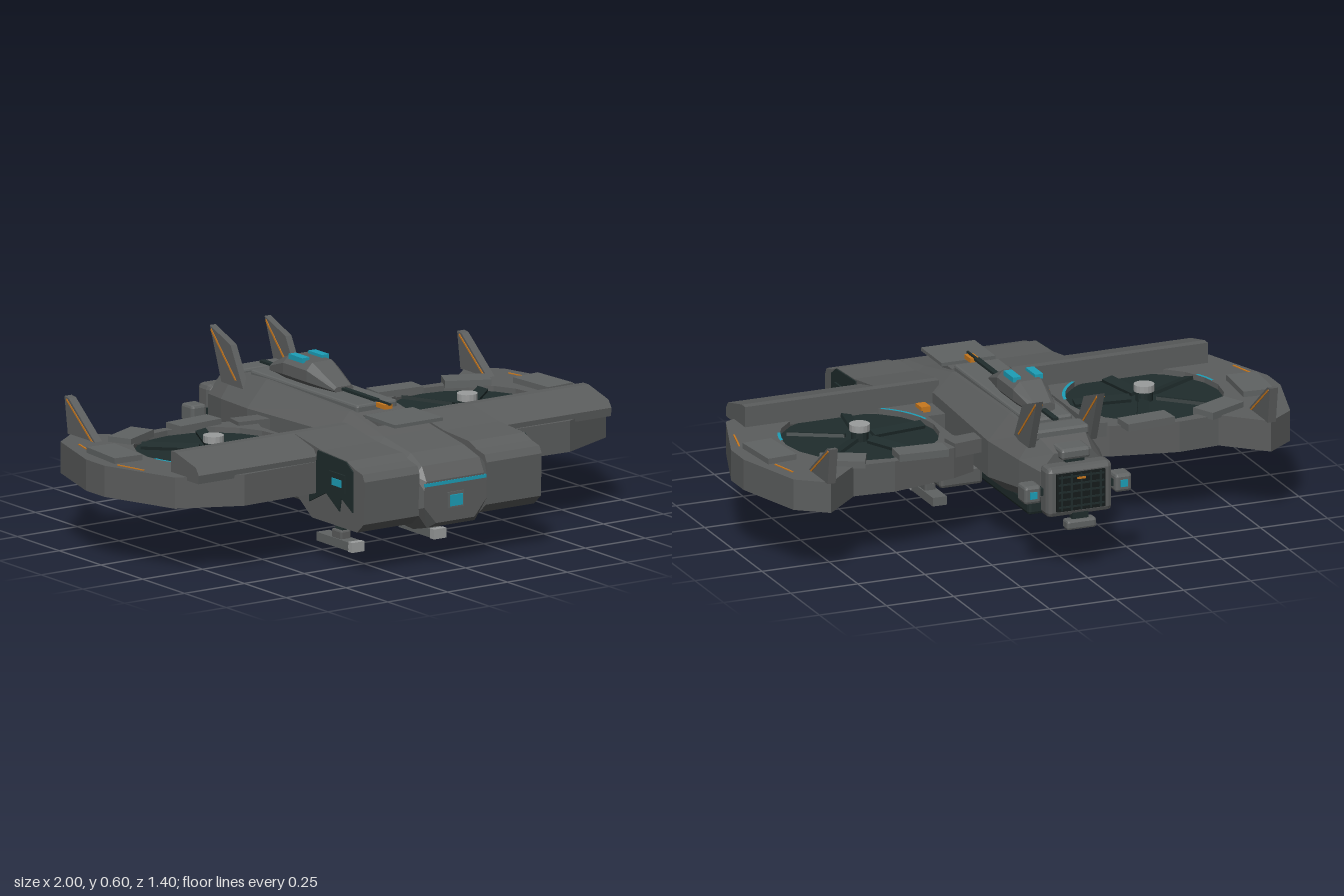
import * as THREE from 'three';
import { RoundedBoxGeometry } from 'three/addons/geometries/RoundedBoxGeometry.js';

const paint = (name, color) => {
  const m = new THREE.MeshStandardMaterial({ color });
  m.name = name;
  return m;
};

// faceted copy of any geometry
function facet(geo) {
  const g = geo.index ? geo.toNonIndexed() : geo;
  g.computeVertexNormals();
  return g;
}

// mirrored copy across x, with corner order restored
function mirrorX(geo) {
  const g = geo.clone(), p = g.attributes.position, a = new THREE.Vector3(), b = new THREE.Vector3();
  g.scale(-1, 1, 1);
  for (let i = 0; i < p.count; i += 3) {
    a.fromBufferAttribute(p, i + 1);
    b.fromBufferAttribute(p, i + 2);
    p.setXYZ(i + 1, b.x, b.y, b.z);
    p.setXYZ(i + 2, a.x, a.y, a.z);
  }
  g.computeVertexNormals();
  return g;
}

// box given by its limits, optionally with chamfered edges
function box(x0, x1, y0, y1, z0, z1, bevel = 0) {
  const s = [x1 - x0, y1 - y0, z1 - z0];
  const g = bevel ? new RoundedBoxGeometry(...s, 1, bevel) : new THREE.BoxGeometry(...s);
  return facet(g.translate((x0 + x1) / 2, (y0 + y1) / 2, (z0 + z1) / 2));
}

// flat box turned about y
function slab(x, y, z, w, h, d, turn = 0) {
  return facet(new THREE.BoxGeometry(w, h, d).rotateY(turn).translate(x, y, z));
}

// outline in (z, y) extruded from x0 to x1
function sideExtrude(pts, x0, x1) {
  const shape = new THREE.Shape(pts.map(p => new THREE.Vector2(...p)));
  const g = new THREE.ExtrudeGeometry(shape, { depth: x1 - x0, bevelEnabled: false });
  return facet(g.rotateY(-Math.PI / 2).translate(x1, 0, 0));
}

// hull through eight-sided sections: z, four heights, three half widths
function loft(sections) {
  const rings = sections.map(([z, yb, yl, yh, yt, hb, hm, ht]) => [
    [hb, yb, z], [hm, yl, z], [hm, yh, z], [ht, yt, z],
    [-ht, yt, z], [-hm, yh, z], [-hm, yl, z], [-hb, yb, z]]);
  const v = [];
  const tri = (a, b, c) => v.push(...a, ...b, ...c);
  for (let i = 0; i < rings.length - 1; i++) for (let j = 0; j < 8; j++) {
    const k = (j + 1) % 8, f = rings[i], r = rings[i + 1];
    tri(f[j], r[j], r[k]);
    tri(f[j], r[k], f[k]);
  }
  const first = rings[0], last = rings[rings.length - 1];
  for (let j = 1; j < 7; j++) {
    tri(first[0], first[j], first[j + 1]);
    tri(last[0], last[j + 1], last[j]);
  }
  const g = new THREE.BufferGeometry();
  g.setAttribute('position', new THREE.Float32BufferAttribute(v, 3));
  g.computeVertexNormals();
  return g;
}

export function createModel() {
  const model = new THREE.Group();
  model.name = 'ductedFanGunship';
  const hull = paint('hull grey', 0x5b5d5d), plate = paint('plate grey', 0x606363);
  const dark = paint('dark slate', 0x1f2c2c), black = paint('vent black', 0x151b1b);
  const light = paint('light metal', 0x9a9c9c), teal = paint('teal glow', 0x1c9fb8);
  const orange = paint('orange marking', 0xc8781e);

  const add = (name, geo, mat) => {
    const m = new THREE.Mesh(geo, mat);
    m.name = name;
    model.add(m);
  };
  const both = (name, geo, mat) => {
    add(name + 'Left', geo, mat);
    add(name + 'Right', mirrorX(geo), mat);
  };

  // Fuselage and dorsal armour
  add('fuselage', loft([
    [0.688, 0.16, 0.22, 0.28, 0.31, 0.08, 0.13, 0.12],
    [0.66, 0.14, 0.21, 0.33, 0.36, 0.10, 0.15, 0.12],
    [0.58, 0.12, 0.22, 0.35, 0.39, 0.10, 0.16, 0.11],
    [0.42, 0.13, 0.23, 0.37, 0.415, 0.10, 0.16, 0.11],
    [0.20, 0.19, 0.25, 0.39, 0.46, 0.10, 0.165, 0.10],
    [-0.30, 0.20, 0.25, 0.38, 0.47, 0.12, 0.18, 0.10],
    [-0.50, 0.22, 0.27, 0.37, 0.46, 0.10, 0.15, 0.09],
    [-0.62, 0.23, 0.27, 0.36, 0.42, 0.08, 0.12, 0.07]]), hull);
  add('cockpitPlate', box(-0.1, 0.1, 0.452, 0.464, 0.29, 0.47), plate);
  add('cockpitPlateMount', box(-0.08, 0.08, 0.42, 0.453, 0.25, 0.34), hull);
  add('spinePlate', box(-0.085, 0.085, 0.44, 0.48, -0.42, 0.22, 0.008), plate);
  add('tailPlate', box(-0.1, 0.1, 0.44, 0.475, -0.53, -0.45, 0.008), plate);
  add('spineRod', box(-0.01, 0.01, 0.484, 0.493, -0.47, 0.22), dark);
  add('spineRodTip', box(-0.004, 0.004, 0.485, 0.492, 0.22, 0.30), dark);
  add('spineMarking', box(-0.016, 0.016, 0.47, 0.486, 0.235, 0.288), orange);

  // Dorsal turret
  add('turret', loft([
    [0.02, 0.478, 0.485, 0.49, 0.497, 0.03, 0.04, 0.03],
    [-0.11, 0.478, 0.495, 0.535, 0.56, 0.05, 0.065, 0.04],
    [-0.25, 0.478, 0.495, 0.535, 0.56, 0.05, 0.065, 0.04],
    [-0.36, 0.478, 0.485, 0.50, 0.51, 0.03, 0.045, 0.03]]), hull);
  both('turretLight', box(0.026, 0.056, 0.552, 0.57, -0.23, -0.147), teal);

  // Nose lights
  add('noseStrip', box(-0.128, 0.128, 0.292, 0.304, 0.68, 0.69), teal);
  add('noseLampFrame', box(-0.033, 0.033, 0.206, 0.262, 0.685, 0.692), plate);
  add('noseLamp', box(-0.026, 0.026, 0.213, 0.252, 0.69, 0.698), teal);

  // Front side housings with recessed outer panel
  both('frontHousing', sideExtrude([[0.63, 0.155], [0.67, 0.19], [0.675, 0.34], [0.662, 0.365],
    [0.615, 0.375], [0.57, 0.394], [0.42, 0.402], [0.25, 0.43], [0.22, 0.43], [0.22, 0.25],
    [0.36, 0.155]], 0.14, 0.37), hull);
  both('housingPanel', sideExtrude([[0.61, 0.365], [0.57, 0.392], [0.40, 0.40], [0.39, 0.35],
    [0.35, 0.345], [0.35, 0.21], [0.45, 0.26], [0.53, 0.21], [0.54, 0.26], [0.61, 0.22]], 0.368, 0.375), dark);
  both('housingHatch', box(0.37, 0.382, 0.28, 0.345, 0.48, 0.57), dark);
  both('housingWindow', box(0.381, 0.386, 0.30, 0.325, 0.50, 0.555), teal);

  // Wing beams, thicker at the rear edge
  both('wingBeam', sideExtrude([[0.385, 0.345], [0.388, 0.375], [0.37, 0.4], [0.25, 0.43],
    [0.22, 0.43], [0.22, 0.345]], 0.15, 0.862), hull);
  both('wingRearArm', slab(0.21, 0.345, -0.21, 0.16, 0.05, 0.07, 0.15), hull);
  both('sidePod', box(0.12, 0.28, 0.16, 0.23, -0.12, 0.19, 0.012), hull);
  both('podPylon', box(0.16, 0.25, 0.22, 0.35, 0.1, 0.23), hull);
  both('podMarking', box(0.275, 0.285, 0.186, 0.205, 0.09, 0.135), orange);
  both('wingRootMarking', box(0.205, 0.24, 0.345, 0.37, 0.14, 0.19), orange);

  // Fan ducts
  const cx = 0.53, R = 0.275;
  const outline = [[0.2, 0.24], [0.37, 0.39], [0.68, 0.4], [0.9, 0.3], [1.0, 0.02], [1.0, -0.09],
    [0.925, -0.35], [0.82, -0.43], [0.68, -0.3], [0.53, -0.31], [0.29, -0.26], [0.2, -0.22],
    [0.24, -0.13], [0.24, 0.13], [0.2, 0.19]];
  const shape = new THREE.Shape(outline.map(([x, z]) => new THREE.Vector2(x, -z)));
  const hole = [];
  for (let i = 0; i < 20; i++) {
    const a = i / 20 * Math.PI * 2;
    hole.push(new THREE.Vector2(cx + R * Math.cos(a), R * Math.sin(a)));
  }
  shape.holes.push(new THREE.Path(hole));
  both('fanDuct', facet(new THREE.ExtrudeGeometry(shape, { depth: 0.11, bevelEnabled: false })
    .rotateX(-Math.PI / 2).translate(0, 0.247, 0)), hull);
  both('fanDisc', facet(new THREE.CylinderGeometry(R, R, 0.075, 20).translate(cx, 0.3, 0)), dark);
  for (let i = 0; i < 5; i++) {
    const blade = new THREE.BoxGeometry(0.2, 0.012, 0.038).rotateX(0.25).translate(0.15, 0, 0)
      .rotateY(i / 5 * Math.PI * 2 + 0.75).translate(cx, 0.35, 0);
    both('fanBlade' + i, facet(blade), dark);
  }
  both('fanSpindle', facet(new THREE.CylinderGeometry(0.03, 0.03, 0.05, 16).translate(cx, 0.35, 0)), dark);
  both('fanHub', facet(new THREE.CylinderGeometry(0.036, 0.036, 0.024, 16).translate(cx, 0.384, 0)), light);

  // Duct armour plates, glow arcs and seams
  const plates = [[0.895, -0.07, 0.11, 0.19, 0.08], [0.70, -0.25, 0.16, 0.09, -0.45],
    [0.42, -0.275, 0.18, 0.08, -0.08]];
  plates.forEach(([x, z, w, d, turn], i) =>
    both('ductPlate' + i, slab(x, 0.364, z, w, 0.026, d, turn), plate));
  for (const [start, len] of [[Math.PI + 0.2, 0.7], [-0.45, 0.3]])
    both('glowArc', facet(new THREE.RingGeometry(R - 0.005, R + 0.006, 12, 1, start, len)
      .rotateX(-Math.PI / 2).translate(cx, 0.359, 0)), teal);
  both('ductSeam', slab(0.945, 0.358, 0.1, 0.006, 0.004, 0.12, -0.25), orange);
  both('ductRearSeam', slab(0.91, 0.358, -0.23, 0.006, 0.004, 0.1, 0.25), orange);

  // Fins with orange edge lines
  both('ductFin', sideExtrude([[-0.27, 0.355], [-0.43, 0.482], [-0.455, 0.485], [-0.435, 0.355]], 0.805, 0.835), hull);
  both('ductFinLine', sideExtrude([[-0.285, 0.357], [-0.44, 0.478], [-0.444, 0.473], [-0.296, 0.357]], 0.803, 0.837), orange);
  both('tailFin', sideExtrude([[-0.40, 0.42], [-0.475, 0.56], [-0.6, 0.607], [-0.53, 0.42]], 0.102, 0.127), hull);
  both('tailFinLine', sideExtrude([[-0.44, 0.444], [-0.59, 0.598], [-0.593, 0.59], [-0.448, 0.442]], 0.1, 0.129), orange);

  // Tail engine block
  add('engineBlock', box(-0.122, 0.122, 0.21, 0.39, -0.685, -0.61, 0.018), hull);
  add('engineVent', box(-0.09, 0.09, 0.232, 0.368, -0.692, -0.68), black);
  for (let i = 0; i < 5; i++) {
    const y = 0.245 + i * 0.027, x = -0.072 + i * 0.036;
    add('ventSlat' + i, box(-0.085, 0.085, y, y + 0.006, -0.696, -0.69), dark);
    add('ventBar' + i, box(x - 0.003, x + 0.003, 0.235, 0.365, -0.696, -0.69), dark);
  }
  add('ventMarking', box(-0.015, 0.015, 0.345, 0.353, -0.698, -0.69), orange);
  add('engineTopBox', box(-0.055, 0.055, 0.4, 0.44, -0.65, -0.565, 0.01), plate);
  add('engineTopMount', box(-0.035, 0.035, 0.38, 0.405, -0.64, -0.6), dark);
  add('engineBottomBox', box(-0.055, 0.055, 0.163, 0.198, -0.7, -0.655, 0.008), plate);
  add('engineBottomMount', box(-0.03, 0.03, 0.19, 0.22, -0.685, -0.66), dark);
  both('engineSidePod', box(0.138, 0.2, 0.265, 0.33, -0.67, -0.6, 0.01), plate);
  both('enginePodArm', box(0.11, 0.15, 0.285, 0.31, -0.65, -0.62), dark);
  both('enginePodLight', box(0.156, 0.182, 0.285, 0.31, -0.674, -0.668), teal);

  // Belly bay
  add('bellyBay', box(-0.115, 0.115, 0.163, 0.22, -0.5, 0.2, 0.012), dark);
  add('bellyPanel', box(-0.075, 0.075, 0.157, 0.165, -0.44, 0.1), black);

  // Landing gear
  both('legStrut', facet(new THREE.BoxGeometry(0.034, 0.17, 0.045).rotateZ(0.4).translate(0.138, 0.125, 0.25)), dark);
  both('legAnkle', box(0.15, 0.192, 0.03, 0.065, 0.22, 0.28, 0.006), hull);
  both('foot', box(0.145, 0.197, 0.005, 0.036, 0.14, 0.33), plate);
  both('footToe', box(0.145, 0.197, 0.003, 0.038, 0.328, 0.353), light);

  return model;
}
